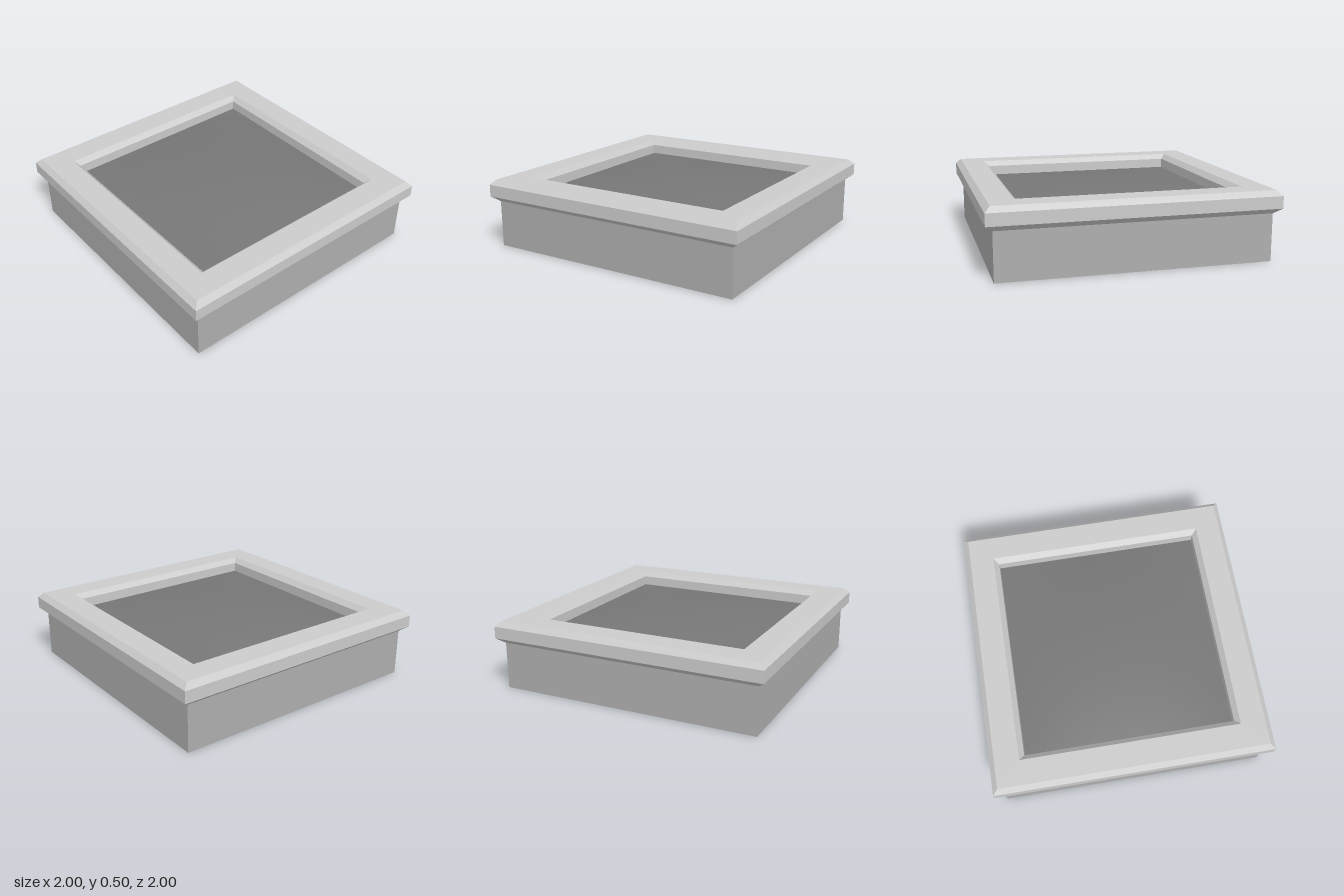
import * as THREE from 'three';

function makeMaterial(color, flatShading) {
  return new THREE.MeshStandardMaterial({ color, flatShading, side: THREE.DoubleSide });
}

// Sweeps a [half width, height] profile around a square, with mitred corners.
function squareSweep(name, color, profile) {
  const points = profile.map(([half, y]) => new THREE.Vector2(half * Math.SQRT2, y));
  const geometry = new THREE.LatheGeometry(points, 4, Math.PI / 4).toNonIndexed();
  geometry.computeVertexNormals();
  const mesh = new THREE.Mesh(geometry, makeMaterial(color, true));
  mesh.name = name;
  return mesh;
}

// Square pane that bulges gently upward from straight edges.
function domedPane(half, rise) {
  const geometry = new THREE.PlaneGeometry(2 * half, 2 * half, 24, 24).rotateX(-Math.PI / 2);
  const position = geometry.attributes.position;
  for (let i = 0; i < position.count; i++) {
    const u = position.getX(i) / half;
    const v = position.getZ(i) / half;
    position.setY(i, rise * (1 - u * u) * (1 - v * v));
  }
  geometry.computeVertexNormals();
  const mesh = new THREE.Mesh(geometry, makeMaterial(0x777777, false));
  mesh.name = 'pane';
  return mesh;
}

export function createModel() {
  const group = new THREE.Group();
  group.name = 'skylight';

  // Thin upstand walls, open at the bottom
  group.add(squareSweep('curb', 0xaeaeae, [[0.95, 0], [0.95, 0.337]]));

  // Hollow bevelled frame overhanging the curb
  group.add(squareSweep('frame', 0xcccccc, [
    [0.95, 0.337], [1, 0.377], [1, 0.463], [0.963, 0.5],
    [0.788, 0.5], [0.752, 0.463], [0.752, 0.392],
  ]));

  // Recessed glazing
  const pane = domedPane(0.752, 0.05);
  pane.position.y = 0.392;
  group.add(pane);

  return group;
}
